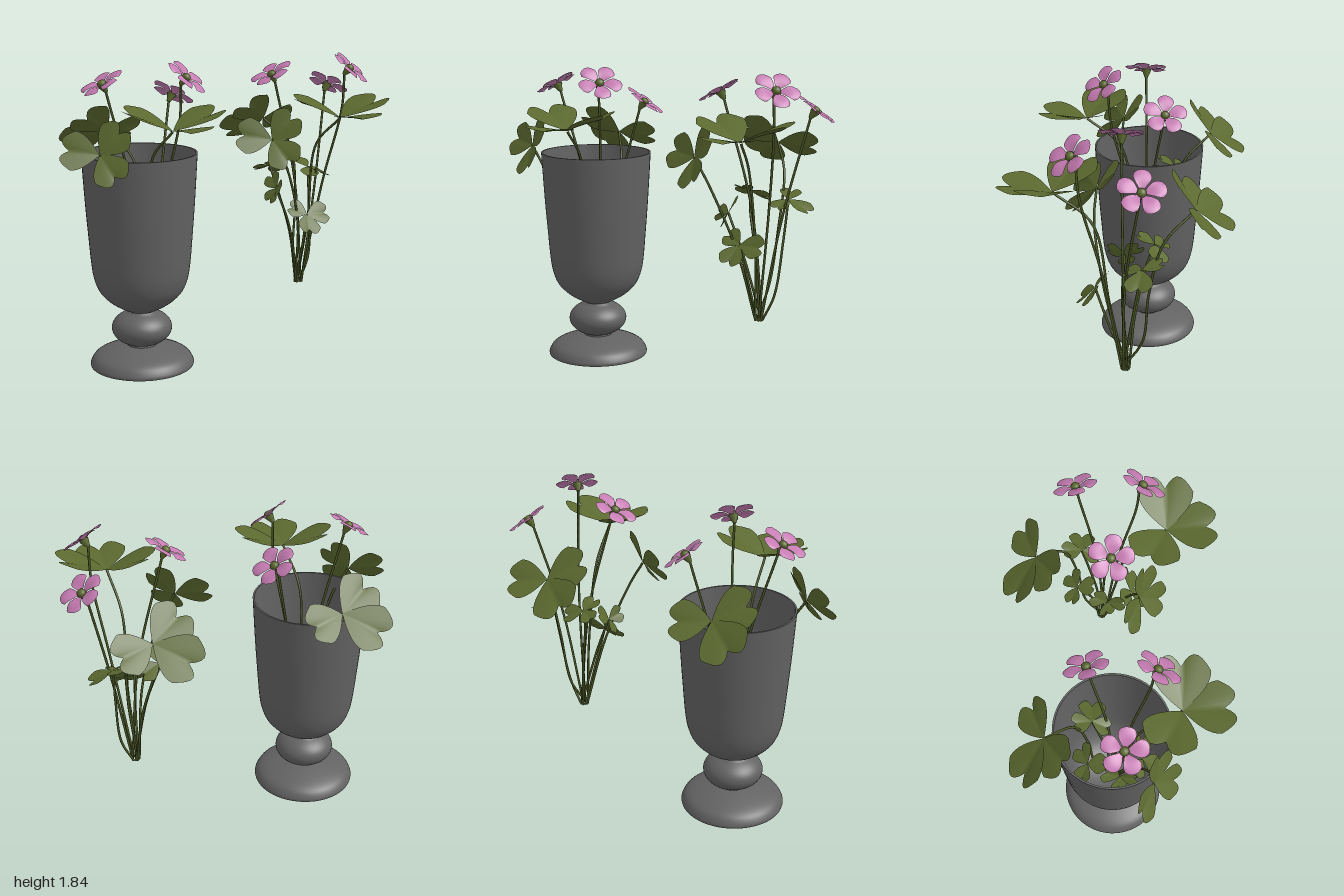
import * as THREE from 'three';
import { toCreasedNormals } from 'three/addons/utils/BufferGeometryUtils.js';

const V = (a) => new THREE.Vector3(...a);
const mat = (name, color, side = THREE.FrontSide) => {
  const m = new THREE.MeshStandardMaterial({ color, side });
  m.name = name;
  return m;
};

const BASE = [0.612, 0.36, -0.02];

// flowers: centre, facing direction, stem waypoint, ring phase
const FLOWERS = [
  { at: [0.365, 1.72, 0.03], n: [-0.5, 0.86, 0.02], via: [[0.56, 1.05, 0.0]], phase: 0.2 },
  { at: [0.89, 1.615, -0.145], n: [0.55, 0.8, -0.2], via: [[0.74, 1.0, -0.04]], phase: 0.5 },
  { at: [0.795, 1.755, 0.24], n: [0.45, 0.75, 0.48], via: [[0.71, 1.05, 0.1], [0.77, 1.5, 0.2]], phase: 0.8 },
];

// clover leaves: centre, upward side, three leaflet tips, stem waypoints
const LEAVES = [
  { at: [0.565, 1.38, -0.4], n: [0, 0.69, -0.72],
    tips: [[0.36, 1.29, -0.56], [0.78, 1.36, -0.48], [0.37, 1.5, -0.3]],
    via: [[0.635, 0.56, -0.12], [0.67, 0.9, -0.16], [0.67, 1.22, -0.24]] },
  { at: [0.645, 1.475, 0.37], n: [0, 1, 0.05],
    tips: [[0.64, 1.52, 0.65], [0.92, 1.59, 0.38], [0.41, 1.6, 0.24]],
    via: [[0.62, 0.8, 0.07], [0.61, 1.28, 0.16]] },
  { at: [0.28, 1.345, 0.19], n: [-0.48, 0.43, 0.76],
    tips: [[0.09, 1.38, 0.11], [0.32, 1.22, 0.34], [0.4, 1.49, 0.24]],
    via: [[0.52, 0.8, 0.11], [0.38, 1.18, 0.19]] },
  { at: [0.556, 0.85, 0.16], n: [0, 0.6, 0.8],
    tips: [[0.46, 0.9, 0.11], [0.7, 0.85, 0.17], [0.52, 0.76, 0.26]],
    via: [[0.58, 0.6, 0.07]] },
  { at: [0.48, 1.11, -0.17], n: [0, 0.85, -0.5],
    tips: [[0.39, 1.09, -0.22], [0.595, 1.07, -0.21], [0.46, 1.16, -0.07]],
    via: [[0.57, 0.7, -0.07], [0.5, 1.0, -0.13]] },
  { at: [0.42, 1.0, 0.01], n: [-0.85, 0.4, 0.3],
    tips: [[0.39, 1.02, 0.11], [0.37, 0.92, 0.0], [0.43, 1.07, -0.08]],
    via: [[0.52, 0.75, 0.01]] },
  { at: [0.74, 1.085, -0.13], n: [0.1, 0.9, 0.1],
    tips: [[0.72, 1.13, -0.24], [0.88, 1.03, -0.12], [0.7, 1.05, -0.03]],
    via: [[0.7, 0.52, -0.04], [0.73, 0.85, -0.09]] },
];

// Curved blade along +y, opening towards +z; end(u) shapes its outer edge
function bladeGeometry(length, halfWidth, end, lift) {
  const NU = 14, NT = 10;
  const g = new THREE.PlaneGeometry(2, 1, NU, NT);
  const p = g.attributes.position;
  for (let i = 0; i < p.count; i++) {
    const u = p.getX(i), t = p.getY(i) + 0.5;
    const w = Math.sin((t * Math.PI) / 2) ** 0.95;
    p.setXYZ(i, u * halfWidth * w, t * length * end(Math.abs(u)), lift(Math.abs(u) * t, t) * length);
  }
  g.computeVertexNormals();
  return g;
}
const heartEnd = (u) => 0.78 + 0.22 * Math.sin(Math.PI * u ** 0.9) - 0.08 * u ** 4;
const petalEnd = (u) => 0.68 + 0.32 * Math.sqrt(1 - 0.98 * u * u);

// Places a blade so it runs from one point to another with a given upper side
function placeBlade(mesh, from, dir, up) {
  const y = dir.clone().normalize();
  const x = y.clone().cross(up).normalize();
  const z = x.clone().cross(y);
  mesh.applyMatrix4(new THREE.Matrix4().makeBasis(x, y, z).setPosition(from));
}

function stem(points, radius, material) {
  const curve = new THREE.CatmullRomCurve3(points, false, 'centripetal');
  const m = new THREE.Mesh(new THREE.TubeGeometry(curve, 28, radius, 7), material);
  m.name = 'stem';
  return m;
}

function makeFlower(f, M) {
  const g = new THREE.Group();
  g.name = 'flower';
  const petalGeo = bladeGeometry(0.122, 0.05, petalEnd,
    (s, t) => 0.2 * Math.sin(t * 2.2) - 0.06 * s * s);
  for (let i = 0; i < 5; i++) {
    const a = f.phase + (i * Math.PI * 2) / 5;
    const dir = V([Math.cos(a), 0, Math.sin(a)]);
    const petal = new THREE.Mesh(petalGeo, M.petal);
    petal.name = 'petal';
    placeBlade(petal, dir.clone().multiplyScalar(0.012).setY(-0.012), dir, V([0, 1, 0]));
    g.add(petal);
  }
  // green eye in the middle and calyx underneath
  const eye = new THREE.Mesh(new THREE.SphereGeometry(0.026, 14, 10), M.leaf);
  eye.name = 'flowerEye';
  eye.scale.y = 0.8;
  g.add(eye);
  const calyx = new THREE.Mesh(new THREE.CylinderGeometry(0.03, 0.01, 0.05, 12), M.leaf);
  calyx.name = 'calyx';
  calyx.position.y = -0.033;
  g.add(calyx);
  g.quaternion.setFromUnitVectors(V([0, 1, 0]), V(f.n).normalize());
  g.position.set(...f.at);
  return g;
}

function makeLeaf(l, M) {
  const g = new THREE.Group();
  g.name = 'cloverLeaf';
  const c = V(l.at);
  for (const tip of l.tips) {
    const d = V(tip).sub(c);
    const len = d.length() * 1.04;
    const leaflet = new THREE.Mesh(
      bladeGeometry(len, len * 0.52, heartEnd, (s, t) => 0.1 * s - 0.06 * t * t), M.leaf);
    leaflet.name = 'leaflet';
    placeBlade(leaflet, c, d, V(l.n));
    g.add(leaflet);
  }
  return g;
}

function makePlant(M) {
  const g = new THREE.Group();
  g.name = 'plant';
  const all = [...FLOWERS, ...LEAVES];
  all.forEach((part, i) => {
    const isFlower = i < FLOWERS.length;
    // stems start in a small ring at the base
    const a = (i / all.length) * Math.PI * 2;
    const start = V(BASE).add(V([0.022 * Math.cos(a), 0, 0.022 * Math.sin(a)]));
    const end = V(part.at);
    if (isFlower) end.addScaledVector(V(part.n).normalize(), -0.05);
    g.add(stem([start, ...part.via.map(V), end], 0.0075, M.stem));
    g.add(isFlower ? makeFlower(part, M) : makeLeaf(part, M));
  });
  return g;
}

// Footed goblet: foot, round knob, neck and hollow bowl
function makeVase(M) {
  const spline = (pts, n) =>
    new THREE.SplineCurve(pts.map((p) => new THREE.Vector2(...p))).getPoints(n);
  const knob = [];
  for (let i = 0; i <= 16; i++) {
    const a = -1.08 + (2.16 * i) / 16;
    knob.push(new THREE.Vector2(0.182 * Math.cos(a), 0.23 + 0.112 * Math.sin(a)));
  }
  const profile = [
    new THREE.Vector2(0, 0),
    ...spline([[0.312, 0], [0.312, 0.018], [0.288, 0.056], [0.24, 0.083], [0.16, 0.107], [0.088, 0.122]], 18),
    ...knob,
    ...spline([[0.08, 0.337], [0.13, 0.362], [0.195, 0.405], [0.25, 0.465], [0.28, 0.54], [0.295, 0.63],
      [0.309, 0.8], [0.325, 1.02], [0.341, 1.3]], 32),
    ...spline([[0.33, 1.3], [0.314, 1.02], [0.298, 0.8], [0.284, 0.63], [0.268, 0.54], [0.236, 0.475],
      [0.18, 0.42], [0.1, 0.38], [0, 0.365]], 30),
  ];
  const vase = new THREE.Mesh(toCreasedNormals(new THREE.LatheGeometry(profile, 56), 0.7), M.vase);
  vase.name = 'vase';
  vase.position.set(-0.497, 0, -0.018);
  return vase;
}

export function createModel() {
  const M = {
    vase: mat('vaseGrey', 0x626262),
    leaf: mat('leafGreen', 0x5b692f, THREE.DoubleSide),
    stem: mat('stemGreen', 0x4a5626),
    petal: mat('petalPink', 0xc57bb2, THREE.DoubleSide),
  };
  const model = new THREE.Group();
  model.name = 'vaseWithClover';
  model.add(makeVase(M));

  // one plant stands beside the vase, its twin inside it
  const loose = makePlant(M);
  loose.name = 'loosePlant';
  const potted = makePlant(M);
  potted.name = 'pottedPlant';
  potted.position.x = -1.11;
  model.add(loose, potted);
  return model;
}
